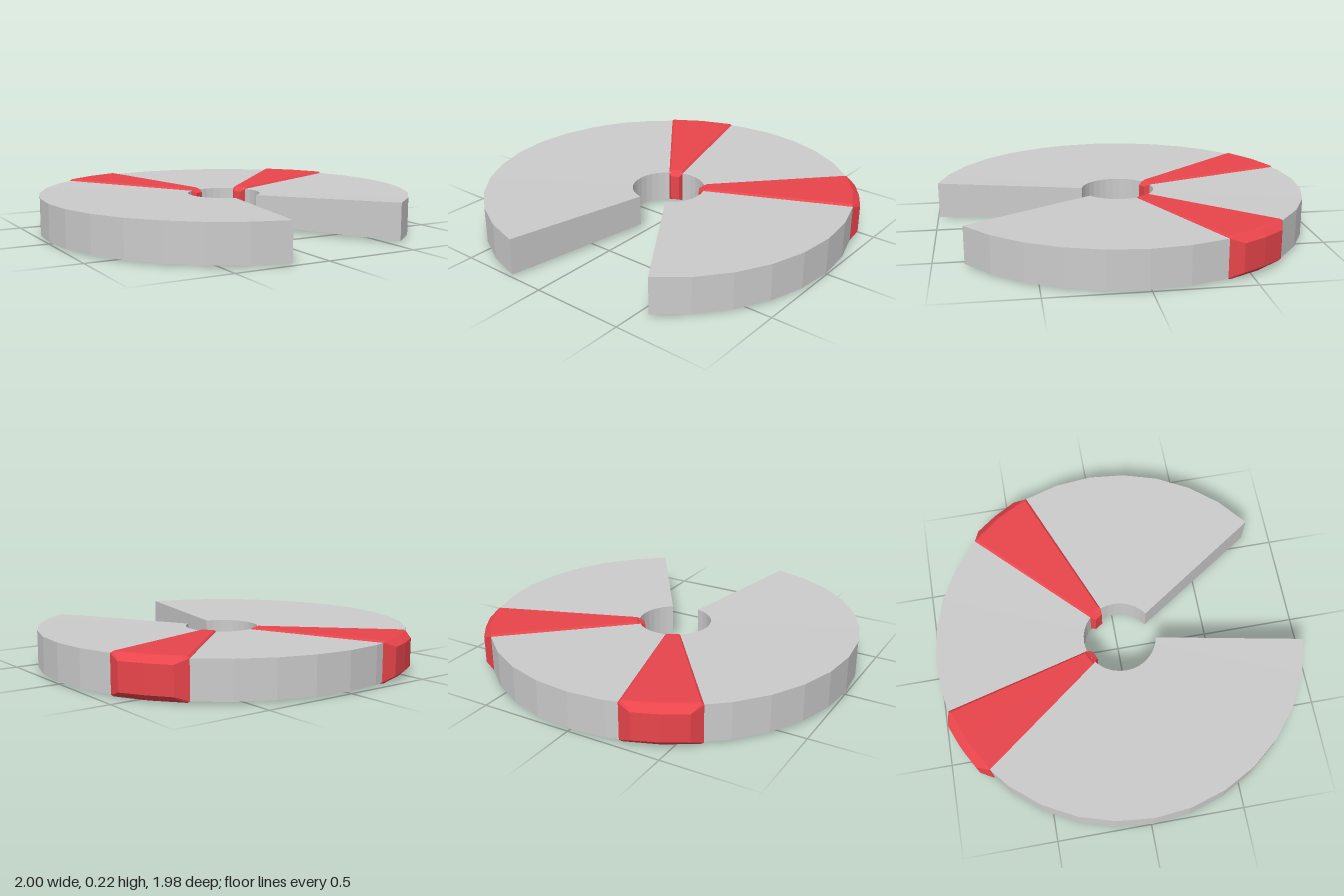
import * as THREE from 'three';

const MID_Y = 0.1075, MID_Z = 0.01;
const R_IN = 0.197, R_OUT = 1.0;
const H_IN = 0.083, H_OUT = 0.098; // half heights at the hole and at the rim

// Polar point (angle in degrees, seen from above) to model space
function polar(r, deg, y) {
  const a = THREE.MathUtils.degToRad(deg);
  return new THREE.Vector3(r * Math.cos(a), MID_Y + y, MID_Z - r * Math.sin(a));
}

// Join equal loops of points into a closed, flat-shaded solid
function loft(sections) {
  const pos = [];
  const n = sections[0].length;
  const quad = (a, b, c, d) => {
    for (const p of [a, b, c, a, c, d]) pos.push(p.x, p.y, p.z);
  };
  for (let s = 0; s < sections.length - 1; s++) {
    const p = sections[s], q = sections[s + 1];
    for (let i = 0; i < n; i++) {
      const k = (i + 1) % n;
      quad(p[i], q[i], q[k], p[k]);
    }
  }
  // End caps as strips between the upper and lower halves of the loop
  const first = sections[0], last = sections[sections.length - 1];
  for (let j = 1; j < n / 2; j++) {
    const ids = [j, j + 1, (n - j) % n, (n + 1 - j) % n];
    quad(...ids.map(i => first[i]));
    quad(...ids.reverse().map(i => last[i]));
  }
  const geo = new THREE.BufferGeometry();
  geo.setAttribute('position', new THREE.Float32BufferAttribute(pos, 3));
  geo.computeVertexNormals();
  return geo;
}

// Ring of 28 facets (of 32), slightly thinner at the hole, with an open gap
function discGeometry() {
  const sections = [];
  for (let i = 0; i <= 28; i++) {
    const a = -56.25 + i * 11.25;
    sections.push([
      polar(R_OUT, a, -H_OUT), polar(R_OUT, a, H_OUT),
      polar(R_IN, a, H_IN), polar(R_IN, a, -H_IN),
    ]);
  }
  return loft(sections);
}

// Raised wedge: cross-sections from the hole outwards
function wedgeGeometry(center) {
  // [radius, half angle, half height, raise of the top and bottom faces]
  const rows = [
    [0.168, 8.0, 0.07, 0],
    [R_IN, 11.25, H_IN, 0],
    [0.212, 11.25, H_IN + 0.0005, 0.009],
    [0.99, 11.25, H_OUT, 0.0095],
    [R_OUT, 11.25, H_OUT, 0.006],
    [1.035, 7.6, 0.073, 0],
  ];
  return loft(rows.map(([r, A, h, d]) => {
    const inset = A - Math.min(A * 0.25, 0.7 / Math.max(r, 0.3));
    const t = h + d;
    return [
      [-A, -h], [-A, h], [-inset, t], [0, t], [inset, t],
      [A, h], [A, -h], [inset, -t], [0, -t], [-inset, -t],
    ].map(([a, y]) => polar(r, center + a, y));
  }));
}

export function createModel() {
  const group = new THREE.Group();
  group.name = 'slottedDisc';
  const grey = new THREE.MeshStandardMaterial({ color: 0xcccccc, flatShading: true });
  const red = new THREE.MeshStandardMaterial({ color: 0xe8454b, flatShading: true });

  const add = (name, geo, mat) => {
    const mesh = new THREE.Mesh(geo, mat);
    mesh.name = name;
    group.add(mesh);
  };
  add('disc', discGeometry(), grey);
  add('leftWedge', wedgeGeometry(33.75), red);
  add('rightWedge', wedgeGeometry(116.25), red);
  return group;
}
